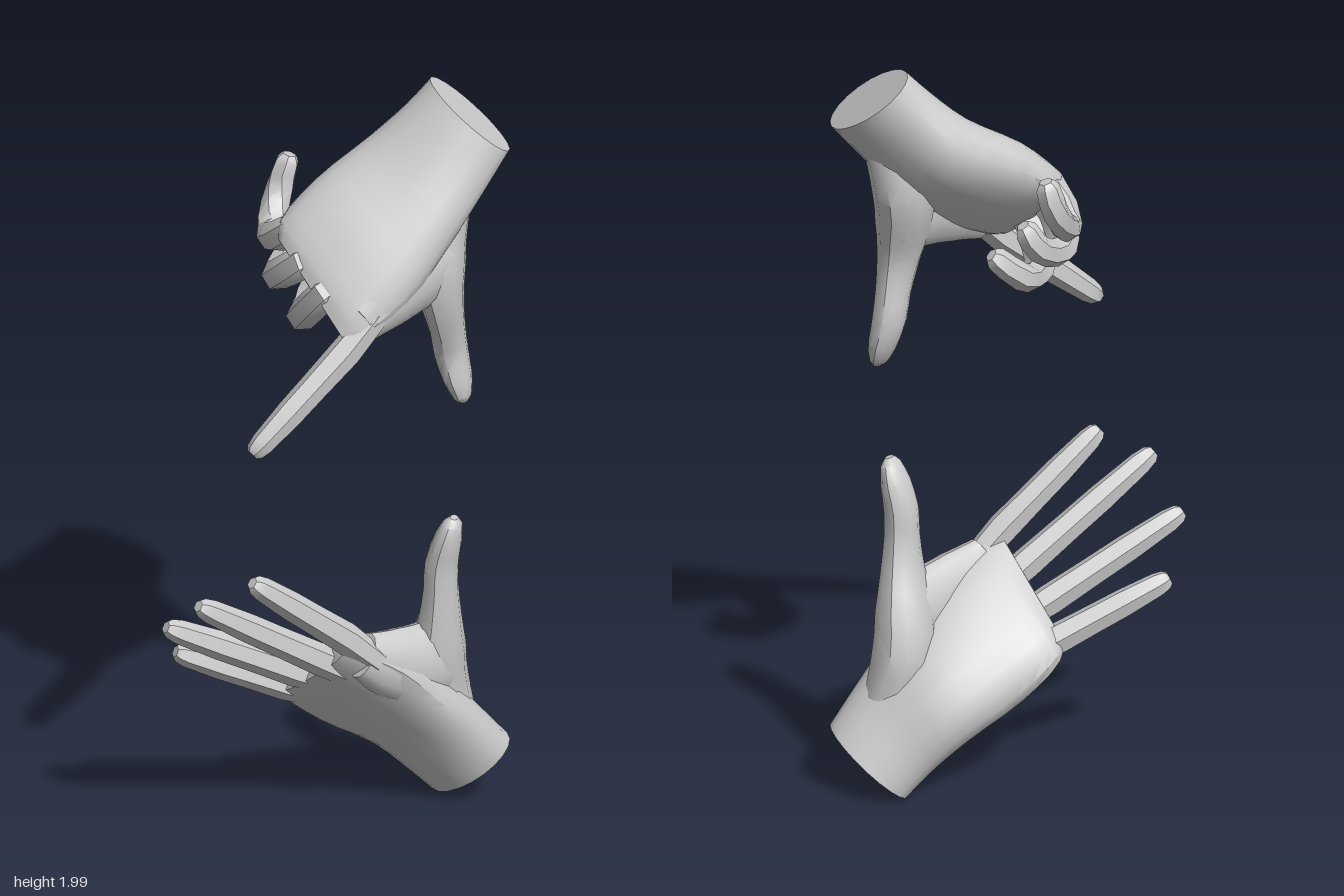
import * as THREE from 'three';
import { toCreasedNormals } from 'three/addons/utils/BufferGeometryUtils.js';

const V = (a) => new THREE.Vector3(a[0], a[1], a[2]);
const material = new THREE.MeshStandardMaterial({ color: 0xcccccc });

// Skin a list of rings, close both ends, and orient the faces outward.
// mirror reflects the part into the upper hand.
function skin(name, rings, mirror) {
  const n = rings[0].length, pos = [], tris = [];
  const put = (p) => pos.push(p.x, mirror ? 2 - p.y : p.y, p.z);
  rings.forEach((r) => r.forEach(put));
  for (let i = 0; i < rings.length - 1; i++) {
    for (let j = 0; j < n; j++) {
      const a = i * n + j, b = i * n + (j + 1) % n;
      tris.push([a, b, b + n], [a, b + n, a + n]);
    }
  }
  [0, rings.length - 1].forEach((i) => {
    const c = new THREE.Vector3();
    rings[i].forEach((p) => c.addScaledVector(p, 1 / n));
    put(c);
    const k = pos.length / 3 - 1;
    for (let j = 0; j < n; j++) {
      const a = i * n + j, b = i * n + (j + 1) % n;
      tris.push(i ? [a, b, k] : [b, a, k]);
    }
  });
  const at = (i) => new THREE.Vector3().fromArray(pos, i * 3).sub(rings[0][0]);
  let volume = 0;
  tris.forEach(([a, b, c]) => { volume += at(a).dot(at(b).cross(at(c))); });
  if (volume < 0) tris.forEach((t) => t.reverse());
  const g = new THREE.BufferGeometry();
  g.setAttribute('position', new THREE.Float32BufferAttribute(pos, 3));
  g.setIndex(tris.flat());
  const mesh = new THREE.Mesh(toCreasedNormals(g, 0.6), material);
  mesh.name = name;
  return mesh;
}

// Tapered tube through stations [x, y, z, radius along side, radius across]
function limb(name, stations, { sides = 6, steps = 2, side = [0.69, 0.62, 0.37], mirror = false } = {}) {
  const path = new THREE.CatmullRomCurve3(stations.map(V));
  const radii = new THREE.CatmullRomCurve3(stations.map((s) => V([s[3], s[4] ?? s[3], 0])));
  const count = (stations.length - 1) * steps, rings = [];
  for (let i = 0; i <= count; i++) {
    const t = i / count, c = path.getPoint(t), r = radii.getPoint(t), d = path.getTangent(t);
    const e = V(side).addScaledVector(d, -V(side).dot(d)).normalize();
    const f = new THREE.Vector3().crossVectors(e, d);
    rings.push(Array.from({ length: sides }, (_, j) => {
      const a = (j / sides) * Math.PI * 2;
      return c.clone().addScaledVector(e, Math.cos(a) * r.x).addScaledVector(f, Math.sin(a) * r.y);
    }));
  }
  return skin(name, rings, mirror);
}

// Palm and wrist: rings between the little-finger edge and the index edge,
// with separate depths for the back of the hand and the fleshy palm side
function palm(depths, mirror) {
  const outer = [[0.156, 0.012, -0.315], [0.105, 0.075, -0.28], [0.02, 0.16, -0.235], [-0.09, 0.25, -0.13],
    [-0.155, 0.335, -0.045], [-0.147, 0.37, -0.005]];
  const inner = [[0.38, 0.158, -0.255], [0.335, 0.25, -0.185], [0.275, 0.365, -0.09], [0.2, 0.49, 0.01],
    [0.115, 0.565, 0.095], [0.078, 0.58, 0.118]];
  const A = new THREE.CatmullRomCurve3(outer.map(V));
  const B = new THREE.CatmullRomCurve3(inner.map(V));
  const H = new THREE.CatmullRomCurve3(depths.map(([back, front]) => V([back, front, 0])));
  const rings = [], steps = 15, sides = 20;
  for (let i = 0; i <= steps; i++) {
    const t = i / steps, p = A.getPoint(t), q = B.getPoint(t), h = H.getPoint(t);
    const c = p.clone().add(q).multiplyScalar(0.5), e = q.sub(p).multiplyScalar(0.5);
    const back = V([0, -0.37, 0.93]).lerp(V([0.14, -0.62, 0.77]), Math.min(1, t * 2)).normalize();
    const power = 1 - 0.25 * t;
    const soft = (v) => Math.sign(v) * Math.abs(v) ** power;
    rings.push(Array.from({ length: sides }, (_, j) => {
      const a = (j / sides) * Math.PI * 2, s = soft(Math.sin(a));
      return c.clone().addScaledVector(e, soft(Math.cos(a))).addScaledVector(back, s * (s > 0 ? h.x : h.y));
    }));
  }
  return skin('palm', rings, mirror);
}

// Thumb with its mound; drift moves the tip backward
function thumb(drift, mirror) {
  const s = [[0.27, 0.16, -0.245, 0.045, 0.055], [0.235, 0.25, -0.215, 0.068, 0.075],
    [0.212, 0.35, -0.188, 0.08, 0.095], [0.222, 0.46, -0.16, 0.072, 0.092],
    [0.236, 0.56, -0.14, 0.054, 0.068], [0.242, 0.65, -0.13, 0.044, 0.053], [0.245, 0.72, -0.128, 0.043, 0.05],
    [0.262, 0.79, -0.125, 0.036, 0.049], [0.276, 0.838, -0.122, 0.024, 0.034], [0.28, 0.855, -0.122, 0.01, 0.014]];
  s.forEach((p) => { p[2] -= drift * THREE.MathUtils.smoothstep(p[1], 0.45, 0.76); });
  return limb('thumb', s, { sides: 12, steps: 2, side: [1, 0, 0], mirror });
}

// Straight finger from inside the palm to a blunt tip
function straight(name, root, base, tip, mirror) {
  const along = (t, r) => [...V(base).lerp(V(tip), t).toArray(), r];
  return limb(name, [[...root, 0.036], along(0, 0.041), along(0.35, 0.038), along(0.6, 0.037),
    along(0.92, 0.031), along(1.0, 0.025), along(1.03, 0.016)], { steps: 1, mirror });
}

// Curled finger through its joints, starting with a raised knuckle
function curled(name, joints) {
  const r = [0.034, 0.043, 0.041, 0.037, 0.036, 0.031];
  const s = joints.map((p, i) => [...p, r[i]]);
  const end = V(joints.at(-1)), d = end.clone().sub(V(joints.at(-2))).normalize();
  s.push([...end.addScaledVector(d, 0.018).toArray(), 0.018]);
  return limb(name, s, { steps: 2, mirror: true });
}

function hand(name, depths, mirror) {
  const g = new THREE.Group();
  g.name = name;
  g.add(palm(depths, mirror), thumb(mirror ? 0.08 : 0, mirror));
  // Flesh between thumb and index finger
  g.add(limb('thumbWeb', [[0.22, 0.43, -0.155, 0.115, 0.07], [0.185, 0.45, -0.075, 0.108, 0.065],
    [0.145, 0.485, 0.0, 0.09, 0.055], [0.1, 0.53, 0.07, 0.06, 0.04]],
  { sides: 14, steps: 3, side: [0, 1, 0], mirror }));
  g.add(straight('indexFinger', [0.13, 0.51, 0.05], [0.07, 0.595, 0.115], [-0.107, 0.812, 0.308], mirror));
  return g;
}

export function createModel() {
  const model = new THREE.Group();
  model.name = 'twoHands';

  // Lower hand, fingers spread
  const lower = hand('openHand',
    [[0.095, 0.095], [0.088, 0.098], [0.082, 0.112], [0.066, 0.092], [0.05, 0.056], [0.036, 0.036]], false);
  lower.add(
    straight('middleFinger', [0.055, 0.455, 0.035], [0.0, 0.515, 0.1], [-0.232, 0.75, 0.356], false),
    straight('ringFinger', [-0.02, 0.405, -0.005], [-0.085, 0.45, 0.055], [-0.342, 0.637, 0.281], false),
    straight('littleFinger', [-0.06, 0.335, -0.06], [-0.13, 0.375, -0.005], [-0.358, 0.508, 0.16], false),
  );

  // Upper hand, mirrored, index pointing and the other fingers curled
  const upper = hand('pointingHand',
    [[0.095, 0.095], [0.09, 0.098], [0.092, 0.112], [0.088, 0.092], [0.06, 0.056], [0.03, 0.036]], true);
  upper.add(
    curled('middleFinger', [[0.05, 0.43, 0.0], [0.0, 0.465, 0.062], [-0.088, 0.58, -0.015],
      [-0.1, 0.592, -0.085], [-0.1, 0.56, -0.17], [-0.05, 0.5, -0.215]]),
    curled('ringFinger', [[-0.01, 0.39, -0.03], [-0.075, 0.41, 0.02], [-0.165, 0.495, -0.05],
      [-0.176, 0.502, -0.115], [-0.16, 0.46, -0.2], [-0.135, 0.405, -0.222]]),
    curled('littleFinger', [[-0.06, 0.335, -0.08], [-0.125, 0.36, -0.04], [-0.2, 0.42, -0.115],
      [-0.217, 0.402, -0.165], [-0.217, 0.34, -0.225], [-0.2, 0.268, -0.238]]),
  );

  model.add(lower, upper);
  return model;
}
